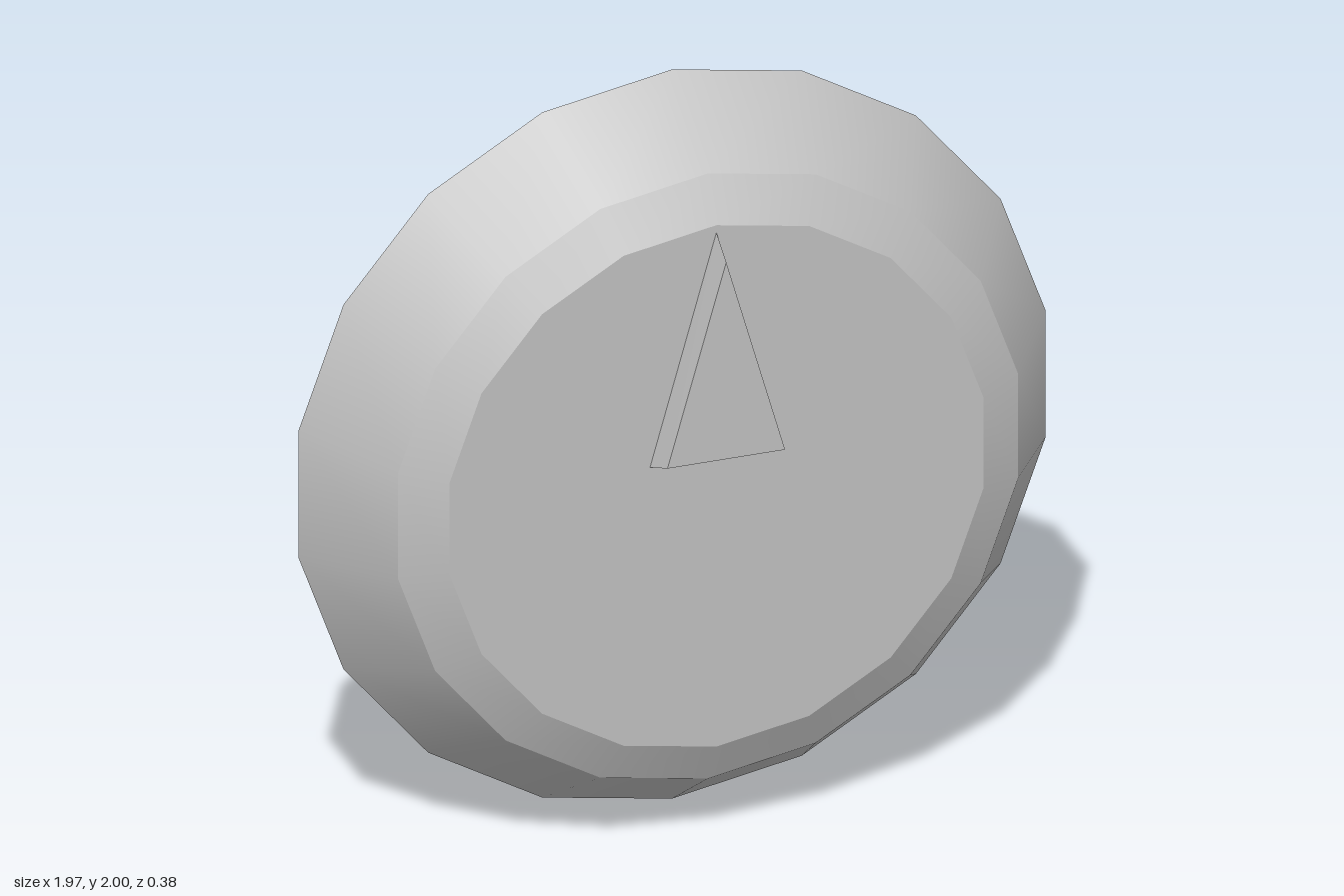
import * as THREE from 'three';

const SIDES = 18;
const CENTRE_Y = 1;

// Faceted rings of the knob, back to front: [radius, z]
const RINGS = [[1, -0.19], [0.83, 0.065], [0.715, 0.125]];

// Raised pointer cross-sections, counter-clockwise seen from the front
const POINTER_BASE = [[0, 1.695, 0.125], [-0.175, 1.08, 0.125], [0.175, 1.08, 0.125]];
const POINTER_TOP = [[0, 1.645, 0.195], [-0.155, 1.105, 0.195], [0.155, 1.105, 0.195]];

function pointerGeometry() {
  const points = [...POINTER_TOP];
  for (let i = 0; i < 3; i++) {
    const j = (i + 1) % 3;
    points.push(POINTER_BASE[i], POINTER_BASE[j], POINTER_TOP[j]);
    points.push(POINTER_BASE[i], POINTER_TOP[j], POINTER_TOP[i]);
  }
  const geometry = new THREE.BufferGeometry();
  geometry.setAttribute('position', new THREE.Float32BufferAttribute(points.flat(), 3));
  geometry.computeVertexNormals();
  return geometry;
}

export function createModel() {
  const group = new THREE.Group();
  group.name = 'knob';
  const grey = new THREE.MeshStandardMaterial({ color: 0xc0c0c0 });
  grey.name = 'grey';

  const add = (name, geometry) => {
    const mesh = new THREE.Mesh(geometry, grey);
    mesh.name = name;
    group.add(mesh);
  };

  // Sloping bands, smooth around and sharp between
  ['outerSlope', 'frontBevel'].forEach((name, i) => {
    const [r0, z0] = RINGS[i];
    const [r1, z1] = RINGS[i + 1];
    const band = new THREE.CylinderGeometry(r1, r0, z1 - z0, SIDES, 1, true);
    band.rotateX(Math.PI / 2).translate(0, CENTRE_Y, (z0 + z1) / 2);
    add(name, band);
  });

  // Flat front and back discs
  const disc = (radius, z, turn) => new THREE.CircleGeometry(radius, SIDES, Math.PI / 2)
    .rotateY(turn).translate(0, CENTRE_Y, z);
  add('frontFace', disc(RINGS[2][0], RINGS[2][1], 0));
  add('backFace', disc(RINGS[0][0], RINGS[0][1], Math.PI));

  // Tapered triangular pointer
  add('pointer', pointerGeometry());
  return group;
}
